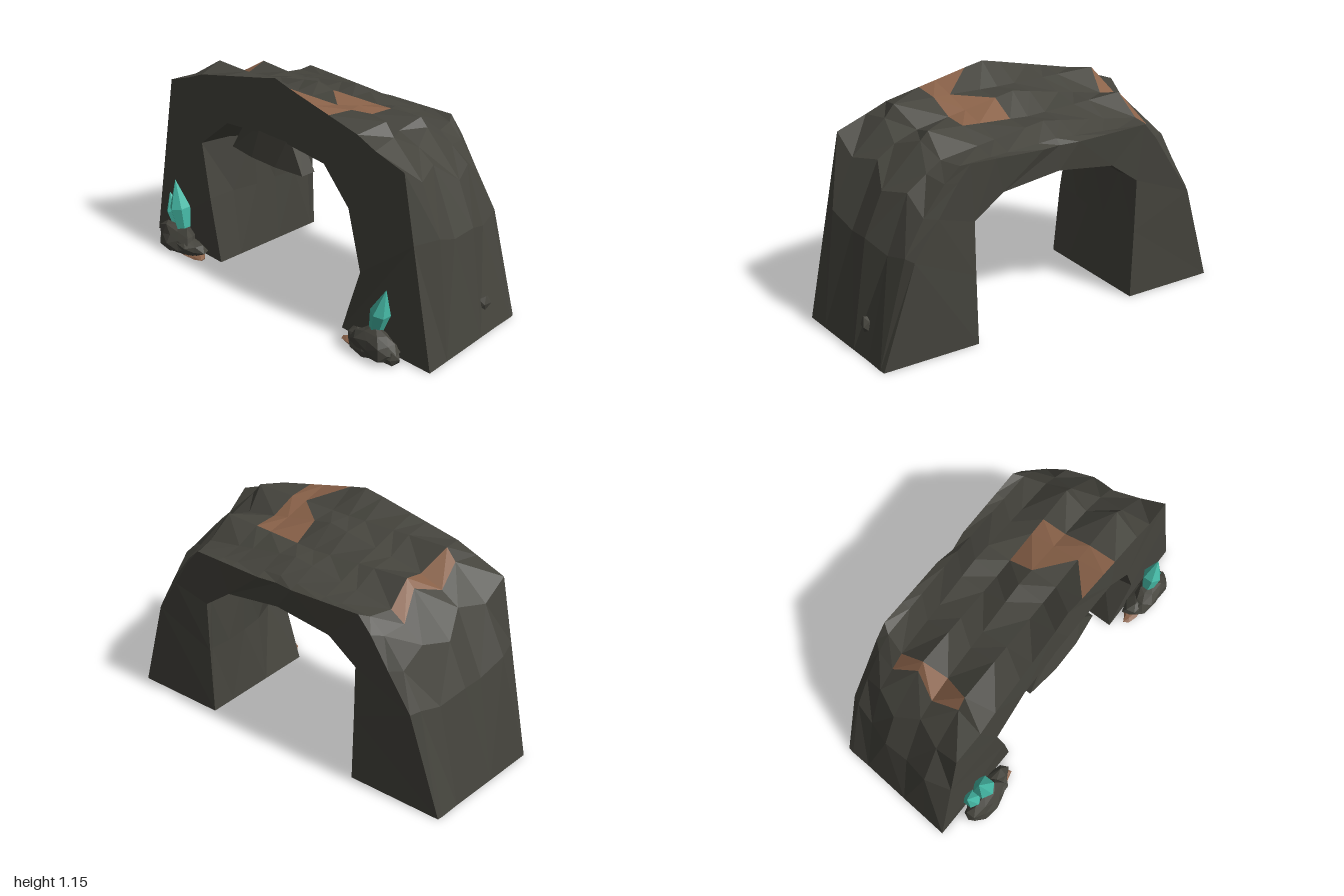
import * as THREE from 'three';

const flat = (name, color) => {
  const m = new THREE.MeshStandardMaterial({ color, flatShading: true });
  m.name = name;
  return m;
};

// One slice per row, front to back: z, footX, side x y,
// shoulder x y, upper shoulder x y, crest x y, middle y
const SLICES = [
  [0.28, 1.0, 0.877, 0.6, 0.81, 0.93, 0.65, 0.985, 0.54, 1.03, 1.15],
  [0.14, 0.99, 0.915, 0.6, 0.8, 0.84, 0.625, 1.0, 0.575, 1.06, 1.05],
  [0.0, 0.98, 0.885, 0.54, 0.74, 0.86, 0.65, 0.92, 0.53, 0.965, 1.065],
  [-0.13, 0.97, 0.885, 0.55, 0.79, 0.76, 0.585, 0.96, 0.545, 1.0, 0.97],
  [-0.26, 0.96, 0.84, 0.5, 0.73, 0.78, 0.63, 0.85, 0.555, 0.9, 0.985],
  [-0.37, 0.955, 0.81, 0.52, 0.71, 0.69, 0.6, 0.83, 0.52, 0.9, 0.93],
  [-0.4, 0.95, 0.785, 0.51, 0.66, 0.69, 0.56, 0.84, 0.49, 0.92, 0.905],
];
// Opening corner that faces each outer corner on the end faces
const FACING = [25, 24, 23, 23, 23, 22, 22, 22, 21, 20, 20, 20, 19, 19, 19, 18, 17];

// Closed outline of one slice, anticlockwise from the right foot
function outline(slice, i) {
  const [z, foot, sideX, sideY, shX, shY, upX, upY, crX, crY, midY] = slice;
  const t = Math.min(1, (0.28 - z) / 0.38);
  const mix = (a, b) => THREE.MathUtils.lerp(a, b, t);
  const wobble = i % 2 ? 0.012 : 0;
  // The front bulges around the opening, the back above the feet
  const outerZ = (x, y) => i === 0 ? (x > 0.8 ? 0.272 : 0.285) : i === 6 && y > 0.3 ? z - 0.016 : z;
  const innerZ = y => i === 0 && y > 0.3 ? 0.296 : z;
  const half = s => {
    const outer = [[foot, 0], [sideX, sideY], [shX, shY], [upX, upY], [crX, crY]];
    for (const x of [0.36, 0.27, 0.1]) outer.push([x, midY + (crY - midY) * x / crX]);
    const inner = [[0.45, 0], [mix(s > 0 ? 0.58 : 0.5, 0.46) + wobble, 0.36],
      [mix(s > 0 ? 0.5 : 0.55, 0.465), mix(0.66, 0.63) + wobble], [mix(0.34, 0.31), mix(0.83, 0.74) + wobble]];
    return [outer.map(([x, y]) => new THREE.Vector3(s * x, y, outerZ(x, y))),
      inner.map(([x, y]) => new THREE.Vector3(s * x, y, innerZ(y)))];
  };
  const [ro, ri] = half(1), [lo, li] = half(-1);
  return [...ro, new THREE.Vector3(0, midY, z), ...lo.reverse(),
    ...li, new THREE.Vector3(0, mix(0.86, 0.78), innerZ(0.8)), ...ri.reverse()];
}

function facesMesh(name, points, material) {
  const g = new THREE.BufferGeometry().setFromPoints(points);
  g.computeVertexNormals();
  const m = new THREE.Mesh(g, material);
  m.name = name;
  return m;
}

// Loft the slices, sorting the roof cells of the rusty patches into their own mesh
function buildArch(stone, rust) {
  const rings = SLICES.map(outline), n = rings[0].length;
  const rock = [], patch = [];
  for (let s = 0; s < rings.length - 1; s++) {
    for (let j = 0; j < n; j++) {
      const k = (j + 1) % n;
      const a = rings[s][j], b = rings[s][k], c = rings[s + 1][k], d = rings[s + 1][j];
      const full = (j === 5 && s < 3) || (j === 6 && s === 2) || (j === 12 && s > 0 && s < 4);
      const part = j === 6 && s < 2;
      (full || part ? patch : rock).push(a, d, s % 2 ? c : b);
      (full ? patch : rock).push(...(s % 2 ? [a, c, b] : [b, d, c]));
    }
  }
  // End faces, as a strip between the outer edge and the opening
  for (const [ring, front] of [[rings[0], true], [rings[rings.length - 1], false]]) {
    const face = (a, b, c) => rock.push(ring[a], ring[front ? b : c], ring[front ? c : b]);
    for (let i = 0; i < FACING.length - 1; i++) {
      face(i, i + 1, FACING[i]);
      if (FACING[i] !== FACING[i + 1]) face(i + 1, FACING[i + 1], FACING[i]);
    }
  }
  return [facesMesh('arch', rock, stone), facesMesh('roofPatches', patch, rust)];
}

// Irregular boulder, cut flat at the given floor height
function boulder(name, material, [x, y, z], [rx, ry, rz], seed, detail = 1, floor = 0.006) {
  const g = new THREE.IcosahedronGeometry(1, detail), p = g.attributes.position;
  for (let i = 0; i < p.count; i++) {
    const v = new THREE.Vector3().fromBufferAttribute(p, i);
    const k = 1 + 0.13 * Math.sin(5 * v.x + 7 * v.y + 9 * v.z + seed);
    p.setXYZ(i, x + v.x * rx * k, Math.max(floor, y + v.y * ry * k), z + v.z * rz * k);
  }
  g.computeVertexNormals();
  const m = new THREE.Mesh(g, material);
  m.name = name;
  return m;
}

// Six-sided pointed crystal standing on its base
function crystal(material, [x, y, z], height, radius, lean) {
  const profile = [[0, 0], [0.7, 0], [1, 0.42], [0, 1]]
    .map(([r, h]) => new THREE.Vector2(r * radius, h * height));
  const m = new THREE.Mesh(new THREE.LatheGeometry(profile, 6), material);
  m.name = 'crystal';
  m.position.set(x, y, z);
  m.rotation.z = lean;
  return m;
}

// Hanging rock under the front of the arch, flared at the bottom
function hangingRock(material) {
  const g = new THREE.BoxGeometry(1, 1, 1, 3, 1, 1), p = g.attributes.position;
  for (let i = 0; i < p.count; i++) {
    const low = p.getY(i) < 0, front = p.getZ(i) > 0, x = p.getX(i);
    const mid = Math.abs(x) < 0.4;
    p.setXYZ(i, -0.05 + x * (low ? 0.5 : 0.3), low ? 0.72 : 0.89,
      front ? (low ? (mid ? 0.322 : 0.3) : 0.29) : 0.22);
  }
  g.computeVertexNormals();
  const m = new THREE.Mesh(g, material);
  m.name = 'hangingRock';
  return m;
}

export function createModel() {
  const group = new THREE.Group();
  group.name = 'caveArch';
  const stone = flat('darkStone', 0x45443d);
  const rust = flat('rustyStone', 0x8a6249);
  const teal = flat('tealCrystal', 0x45b8a5);

  group.add(...buildArch(stone, rust), hangingRock(stone));
  group.add(boulder('sideBump', stone, [0.925, 0.15, -0.19], [0.03, 0.05, 0.04], 2, 0));

  // Crystal clusters at the feet
  for (const s of [-1, 1]) {
    const cluster = new THREE.Group();
    cluster.name = s < 0 ? 'rightCrystalCluster' : 'leftCrystalCluster';
    cluster.add(
      boulder('baseRock', stone, [s * 0.73, 0.06, 0.345], [0.135, 0.092, 0.07], s),
      boulder('lowRock', stone, [s * 0.7, 0.04, 0.335], [0.165, 0.06, 0.07], s + 3),
      boulder('footSlab', rust, [s * 0.63, 0.008, 0.33], [0.11, 0.022, 0.045], s, 1, 0));
    group.add(cluster);
    if (s < 0) cluster.add(
      crystal(teal, [-0.695, 0.14, 0.33], 0.265, 0.058, 0.2),
      crystal(teal, [-0.77, 0.13, 0.312], 0.175, 0.046, 0.32));
    else cluster.add(crystal(teal, [0.72, 0.14, 0.33], 0.23, 0.05, -0.25));
  }
  return group;
}
